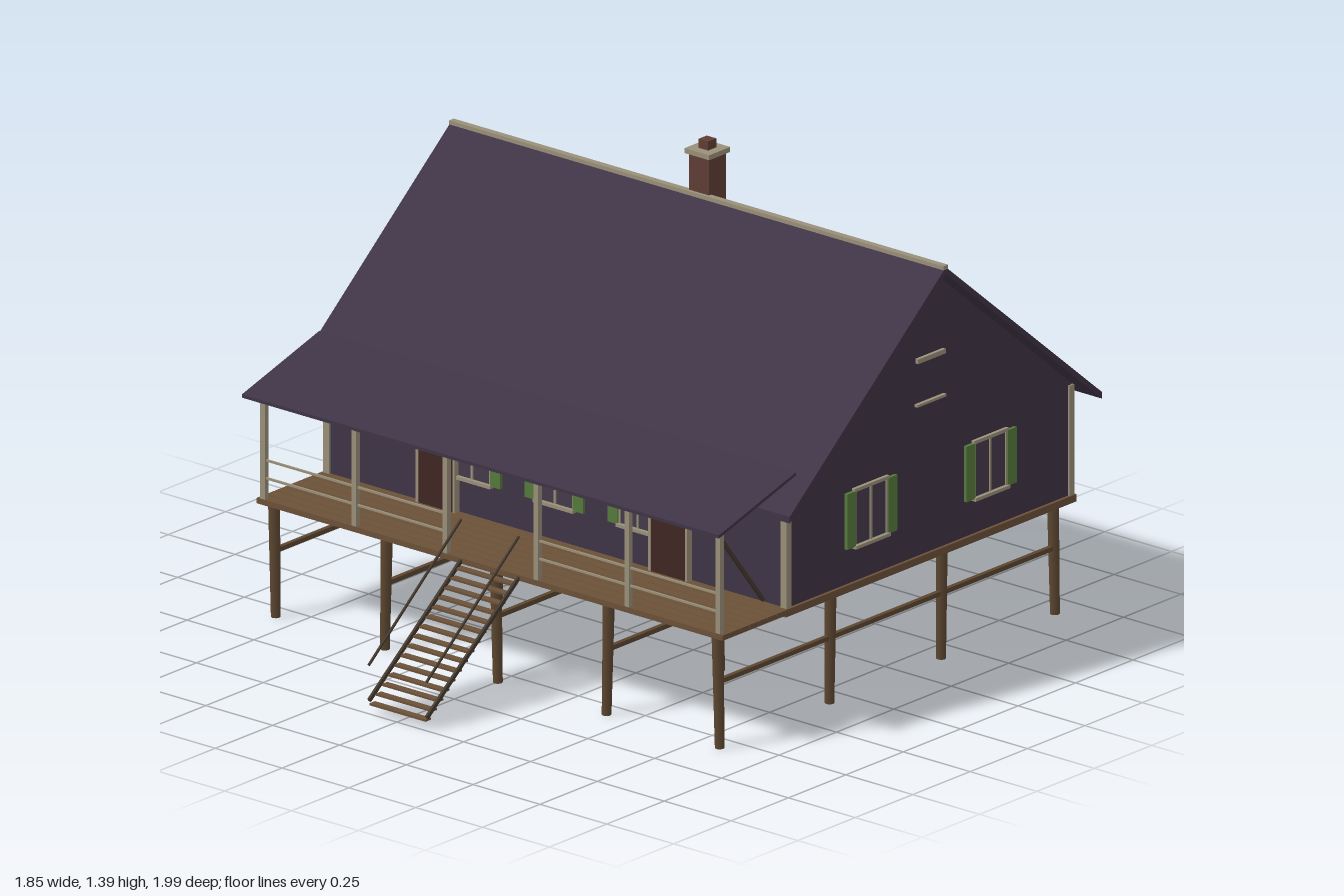
import * as THREE from 'three';

const mat = (name, color) => {
  const m = new THREE.MeshStandardMaterial({ color });
  m.name = name;
  return m;
};

export function createModel() {
  const M = {
    plum: mat('plum boards', 0x3f3446),
    glass: mat('window glass', 0x453b4b),
    trim: mat('pale trim', 0x9a907a),
    wood: mat('deck wood', 0x6b5138),
    post: mat('stilt wood', 0x5c4630),
    dark: mat('dark timber', 0x463a2f),
    green: mat('green shutters', 0x567a3c),
    door: mat('door brown', 0x402624),
    brick: mat('chimney brick', 0x5e3d35),
  };
  const root = new THREE.Group();
  root.name = 'stiltHouse';

  // Box given by size and centre
  const box = (parent, name, m, w, h, d, x, y, z) => {
    const b = new THREE.Mesh(new THREE.BoxGeometry(w, h, d), m);
    b.position.set(x, y, z);
    b.name = name;
    parent.add(b);
    return b;
  };
  // Square bar between two points
  const bar = (name, m, a, b, w, h = w) => {
    const p = new THREE.Vector3(...a), q = new THREE.Vector3(...b);
    const r = box(root, name, m, w, h, p.distanceTo(q), 0, 0, 0);
    r.position.copy(p).add(q).multiplyScalar(0.5);
    r.lookAt(q);
    return r;
  };
  // Side profile of [z, y] points stretched along x
  const prism = (name, m, pts, width) => {
    const shape = new THREE.Shape(pts.map(([z, y]) => new THREE.Vector2(-z, y)));
    const g = new THREE.ExtrudeGeometry(shape, { depth: width, bevelEnabled: false });
    g.translate(0, 0, -width / 2).rotateY(Math.PI / 2);
    const mesh = new THREE.Mesh(g, m);
    mesh.name = name;
    root.add(mesh);
  };

  const ridge = -0.314, wallX = 0.862, front = 0.306, back = -0.934;

  // Walls with gables, and the main roof
  prism('walls', M.plum, [[front, 0.35], [front, 0.693], [ridge, 1.212], [back, 0.693], [back, 0.35]], wallX * 2);
  prism('mainRoof', M.plum, [
    [0.366, 0.664], [ridge, 1.23], [-0.994, 0.664], [-0.994, 0.644], [ridge, 1.21], [0.366, 0.644],
  ], 1.85);
  box(root, 'ridgeCap', M.trim, 1.85, 0.012, 0.02, 0, 1.229, ridge);
  for (const x of [-1, 1]) for (const z of [front - 0.004, back + 0.004])
    box(root, 'cornerTrim', M.trim, 0.022, 0.335, 0.022, x * (wallX - 0.006), 0.522, z);

  // Chimney
  box(root, 'chimney', M.brick, 0.075, 0.24, 0.075, 0, 1.225, -0.352);
  box(root, 'chimneyCap', M.trim, 0.092, 0.015, 0.092, 0, 1.353, -0.352);
  box(root, 'chimneyFlue', M.brick, 0.036, 0.027, 0.036, 0, 1.374, -0.352);

  // House floor and porch planks
  box(root, 'houseFloor', M.wood, 1.744, 0.022, 1.265, 0, 0.346, -0.311);
  box(root, 'porchFloor', M.wood, 1.744, 0.01, 0.275, 0, 0.346, 0.459);
  for (let i = 0; i < 7; i++)
    box(root, 'porchPlank', M.wood, 1.744, 0.006, 0.037, 0, 0.354, 0.341 + i * 0.0393);

  // Slightly uneven stilts, tied front to back
  let n = 0;
  for (const x of [-0.83, -0.415, 0, 0.415, 0.83]) {
    for (const z of [0.565, 0.08, -0.405, -0.895]) {
      const stilt = new THREE.Mesh(new THREE.CylinderGeometry(0.017, 0.014, 0.34, 8), M.post);
      stilt.position.set(x, 0.17, z);
      stilt.rotation.z = Math.sin(++n * 2.3) * 0.025;
      stilt.name = 'stilt';
      root.add(stilt);
    }
    bar('tieBeam', M.post, [x, 0.2, 0.565], [x, 0.2, -0.895], 0.014);
  }

  // Window with shutters, built facing +z
  const addWindow = (x, z, turn) => {
    const w = new THREE.Group();
    w.name = 'window';
    box(w, 'glass', M.glass, 0.14, 0.165, 0.004, 0, 0, 0.002);
    box(w, 'lintel', M.trim, 0.15, 0.01, 0.012, 0, 0.086, 0.005);
    box(w, 'sill', M.trim, 0.15, 0.01, 0.018, 0, -0.086, 0.007);
    box(w, 'mullion', M.trim, 0.007, 0.165, 0.008, 0, 0, 0.004);
    for (const s of [-1, 1]) {
      box(w, 'jamb', M.trim, 0.006, 0.165, 0.008, s * 0.068, 0, 0.004);
      box(w, 'shutter', M.green, 0.038, 0.168, 0.01, s * 0.09, 0, 0.006);
    }
    w.position.set(x, 0.549, z);
    w.rotation.y = turn;
    root.add(w);
  };
  for (const x of [-0.31, 0, 0.31]) addWindow(x, front, 0);
  for (const x of [-0.595, -0.2, 0.2, 0.595]) addWindow(x, back, Math.PI);
  for (const s of [-1, 1]) {
    for (const z of [-0.054, -0.574]) addWindow(s * wallX, z, s * Math.PI / 2);
    // Gable vent trims
    box(root, 'gableLintel', M.trim, 0.014, 0.014, 0.12, s * (wallX + 0.004), 0.948, ridge);
    box(root, 'gableSill', M.trim, 0.014, 0.008, 0.125, s * (wallX + 0.004), 0.814, ridge);
    // Front doors
    box(root, 'door', M.door, 0.128, 0.268, 0.018, s * 0.435, 0.491, front + 0.01);
    box(root, 'doorLintel', M.trim, 0.148, 0.012, 0.024, s * 0.435, 0.63, front + 0.01);
    for (const e of [-1, 1])
      box(root, 'doorJamb', M.trim, 0.009, 0.27, 0.022, s * 0.435 + e * 0.0685, 0.491, front + 0.01);
  }

  // Porch roof, posts, rails and loose brace
  prism('porchRoof', M.plum, [[0.636, 0.676], [0.3, 0.774], [0.3, 0.764], [0.636, 0.666]], 1.785);
  for (const x of [-0.852, -0.51, -0.17, 0.17, 0.51, 0.852])
    box(root, 'porchPost', M.trim, 0.017, 0.322, 0.017, x, 0.512, 0.585);
  for (const s of [-1, 1]) for (const y of [0.42, 0.474])
    box(root, 'porchRail', M.trim, 0.682, 0.006, 0.006, s * 0.511, y, 0.585);
  bar('porchBrace', M.dark, [0.805, 0.643, 0.55], [0.805, 0.378, 0.342], 0.01);

  // Stairs with handrails
  for (const s of [-1, 1]) {
    bar('stairStringer', M.dark, [s * 0.108, 0.35, 0.595], [s * 0.108, 0.038, 0.995], 0.008, 0.012);
    bar('stairHandrail', M.dark, [s * 0.108, 0.474, 0.595], [s * 0.108, 0.145, 0.997], 0.006);
  }
  const steps = 15;
  for (let i = 0; i < steps; i++) {
    const t = i / (steps - 1);
    box(root, 'stairTread', M.wood, 0.21, 0.006, 0.024, 0, 0.332 - t * 0.304, 0.608 + t * 0.378);
  }
  return root;
}
